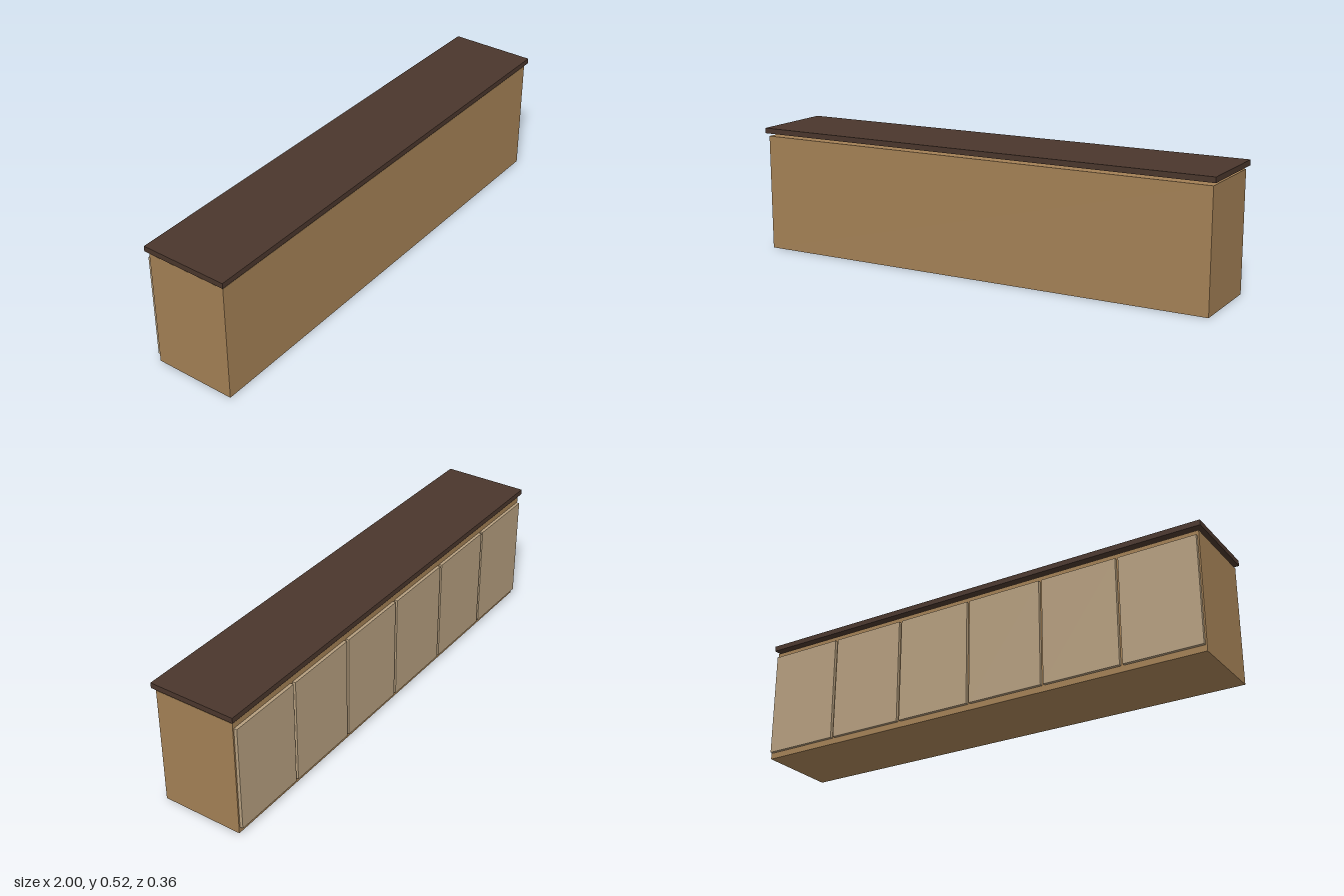
import * as THREE from 'three';

const wood = new THREE.MeshStandardMaterial({ color: 0xa38055 });
const doorWood = new THREE.MeshStandardMaterial({ color: 0xb69f7f });
const darkWood = new THREE.MeshStandardMaterial({ color: 0x4a362c });

// Box given by its centre in x and its ranges in y and z
function box(name, material, x, width, [y0, y1], [z0, z1]) {
  const mesh = new THREE.Mesh(new THREE.BoxGeometry(width, y1 - y0, z1 - z0), material);
  mesh.name = name;
  mesh.position.set(x, (y0 + y1) / 2, (z0 + z1) / 2);
  return mesh;
}

export function createModel() {
  const counter = new THREE.Group();
  counter.name = 'counter';

  // Cabinet body, with the worktop floating just above it
  const bodyWidth = 1.976;
  counter.add(box('body', wood, 0, bodyWidth, [0, 0.486], [-0.168, 0.171]));
  counter.add(box('worktop', darkWood, 0, 2, [0.499, 0.521], [-0.179, 0.182]));

  // Row of doors along the back
  const doorCount = 6;
  const pitch = bodyWidth / doorCount;
  const doors = new THREE.Group();
  doors.name = 'doors';
  for (let i = 0; i < doorCount; i++) {
    const x = (i - (doorCount - 1) / 2) * pitch;
    doors.add(box('door', doorWood, x, pitch - 0.012, [0.025, 0.463], [-0.181, -0.168]));
  }
  counter.add(doors);

  return counter;
}
